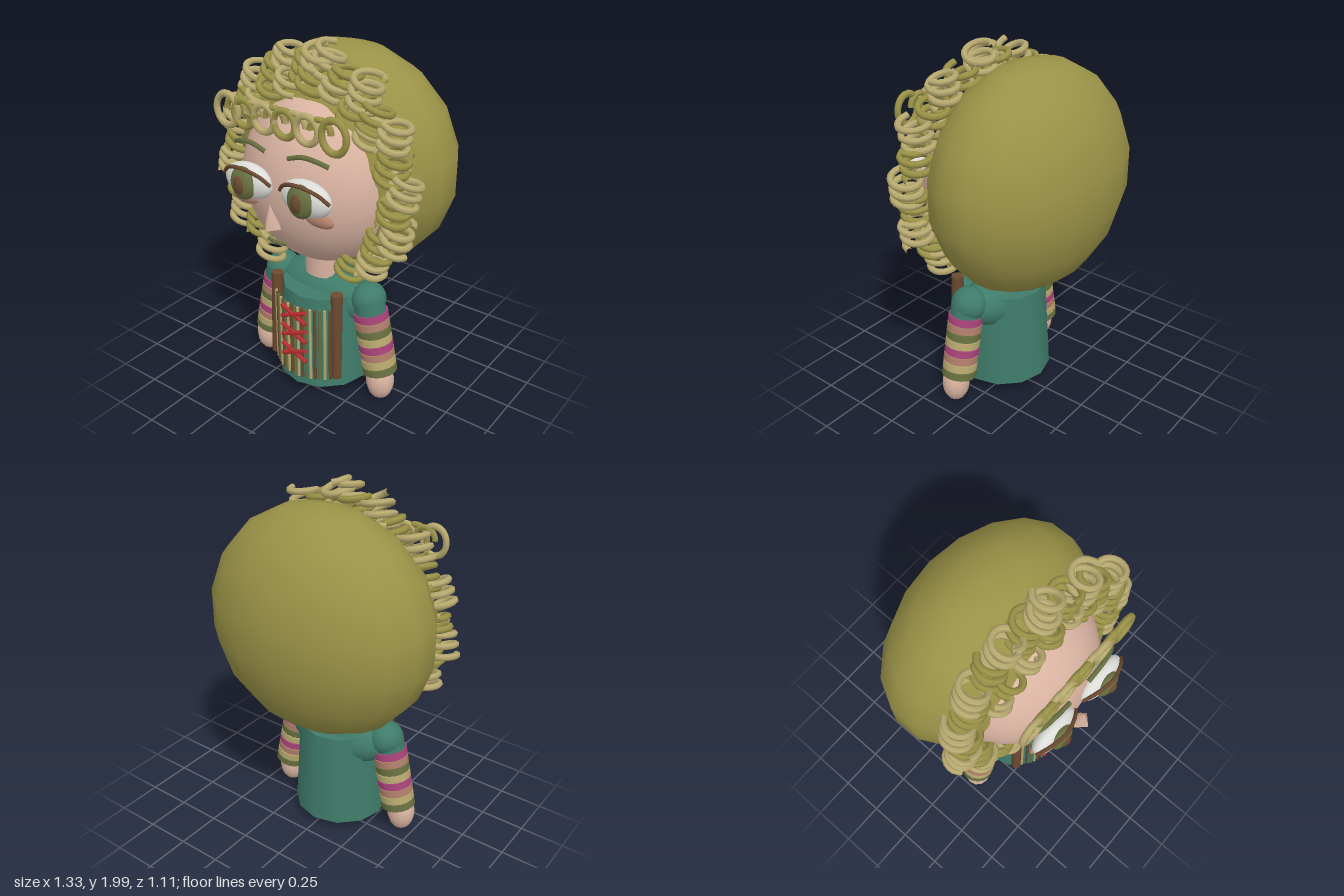
import * as THREE from 'three';

const mat = (name, color) => Object.assign(new THREE.MeshStandardMaterial({ color }), { name });
const V = (x, y, z) => new THREE.Vector3(x, y, z);
const CX = -0.02; // mirror line of the body

export function createModel() {
  const root = new THREE.Group();
  root.name = 'curlyHairedDoll';
  const hair = mat('olive hair', 0x9a9247);
  const khaki = mat('light khaki', 0xb9aa70);
  const skin = mat('skin', 0xd9b3a1);
  const blush = mat('dusky pink', 0xb07f6b);
  const teal = mat('teal cloth', 0x3f7c6a);
  const brown = mat('brown', 0x6c4a30);
  const magenta = mat('magenta', 0xa9437a);
  const red = mat('red lace', 0xb92d30);
  const white = mat('eye white', 0xdcdcd8);
  const green = mat('moss green', 0x687040);

  const add = (name, geo, material, x = 0, y = 0, z = 0, parent = root) => {
    const m = new THREE.Mesh(geo, material);
    m.name = name;
    m.position.set(x, y, z);
    parent.add(m);
    return m;
  };
  const ball = (rx, ry, rz, w = 24, h = 16, turn = 0) =>
    new THREE.SphereGeometry(1, w, h).rotateY(turn).scale(rx, ry, rz);
  const tube = (pts, r, seg = 16, sides = 6) =>
    new THREE.TubeGeometry(new THREE.CatmullRomCurve3(pts), seg, r, sides);
  // straight rod between two points
  const rod = (name, a, b, r0, r1, material, sides = 8) => {
    const d = b.clone().sub(a);
    const m = add(name, new THREE.CylinderGeometry(r1, r0, d.length(), sides), material);
    m.position.copy(a).add(b).multiplyScalar(0.5);
    m.quaternion.setFromUnitVectors(V(0, 1, 0), d.normalize());
    return m;
  };

  // Head, hair mass and neck
  add('hairMass', ball(0.65, 0.62, 0.44, 18, 9, Math.PI / 18), hair, CX, 1.31, -0.12);
  add('head', ball(0.46, 0.48, 0.41, 32, 20), skin, CX, 1.26, 0.05);
  add('neck', new THREE.CylinderGeometry(0.1, 0.1, 0.16, 16), skin, CX, 0.76, 0.1).scale.z = 0.75;

  // Face
  for (const s of [-1, 1]) {
    const side = s > 0 ? 'left' : 'right';
    const ex = CX + s * 0.18;
    add(side + 'EyeWhite', ball(0.15, 0.095, 0.06), white, ex, 1.31, 0.455);
    add(side + 'Iris', ball(0.075, 0.088, 0.042), green, ex, 1.31, 0.5);
    add(side + 'Pupil', ball(0.035, 0.05, 0.025), brown, ex, 1.31, 0.528);
    add(side + 'Eyelid', tube([V(-0.15, 0.01, 0.47), V(-0.1, 0.06, 0.5), V(0, 0.09, 0.525),
      V(0.1, 0.06, 0.5), V(0.15, 0.01, 0.47)], 0.01), brown, ex, 1.31, 0);
    add(side + 'Brow', tube([V(s * -0.11, -0.008, 0.45), V(s * -0.02, 0.018, 0.45),
      V(s * 0.06, 0.01, 0.44), V(s * 0.11, -0.012, 0.42)], 0.012), green, ex, 1.495, 0);
    add(side + 'Cheek', ball(0.085, 0.036, 0.025), blush, CX + s * 0.235, 1.195, 0.425);
  }
  add('nose', new THREE.ConeGeometry(0.052, 0.13, 4).toNonIndexed(), skin, CX, 1.185, 0.505)
    .rotation.x = 0.12;
  add('mouth', tube([V(-0.06, 0.005, 0), V(-0.02, 0, 0.005), V(0.02, 0, 0.005), V(0.06, 0.005, 0)],
    0.01), green, CX, 1.02, 0.462);

  // Spring curl with a near-vertical axis
  const curl = (name, x, y, z, r, height, turns, material, tilt, spin) => {
    const pts = [];
    const n = Math.round(turns * 10);
    for (let i = 0; i <= n; i++) {
      const t = i / n, a = spin + t * turns * Math.PI * 2;
      pts.push(V(Math.cos(a) * r, (t - 0.5) * height, Math.sin(a) * r));
    }
    const m = add(name, tube(pts, 0.018, n * 2, 6), material, x, y, z);
    m.rotation.set(0.12 * Math.sin(spin), 0, tilt);
  };
  // Curls framing the face
  const COUNT = 24;
  for (let i = 0; i < COUNT; i++) {
    const a = THREE.MathUtils.degToRad(-62 + (304 * i) / (COUNT - 1));
    const j = Math.sin(i * 12.9);
    const k = 0.515 + (i % 2) * 0.05;
    curl('frameCurl', -0.005 + Math.cos(a) * k, 1.325 + Math.sin(a) * (k + 0.0), 0.17 + 0.045 * j,
      0.072, 0.17, 3, i % 2 ? khaki : hair, -0.28 + 0.1 * j, i * 2.1);
  }
  // Second row over the forehead
  for (let i = 0; i < 7; i++) {
    const a = THREE.MathUtils.degToRad(35 + i * 18);
    curl('topCurl', Math.cos(a) * 0.43, 1.345 + Math.sin(a) * 0.45, 0.21,
      0.065, 0.1, 1.8, i % 2 ? hair : khaki, -0.3, i * 1.7);
  }
  // Crowning tuft
  curl('crownCurl', 0.02, 1.91, 0.17, 0.07, 0.09, 1.6, khaki, -0.25, 1);

  // Ringlets across the brow, open to the front
  [-0.345, -0.235, -0.11, 0.015, 0.15, 0.305].forEach((x, i) => {
    const r = i % 5 ? 0.064 : 0.07;
    const m = add('fringeRing', new THREE.TorusGeometry(r, 0.017, 8, 22), i % 2 ? hair : khaki,
      x, 1.645, 0.43);
    m.scale.y = i % 5 ? 1.05 : 1.15;
  });
  [-0.29, -0.17, -0.045, 0.08, 0.225].forEach((x, i) =>
    add('fringeLoop', new THREE.TorusGeometry(0.06, 0.016, 8, 20, Math.PI), i % 2 ? khaki : hair,
      x, 1.65, 0.425));

  // Bodice and shoulders
  add('torso', new THREE.CylinderGeometry(0.238, 0.27, 0.55, 12), teal, CX, 0.345, 0.07);
  add('shoulders', ball(0.32, 0.17, 0.165, 20, 12), teal, CX, 0.555, 0.05);

  // Pleats wrapping the bodice front
  const PLEATS = 17;
  for (let i = 0; i < PLEATS; i++) {
    const u = (i / (PLEATS - 1)) * 2 - 1;
    add('pleat', new THREE.CylinderGeometry(0.0085, 0.0085, 0.45, 6), [khaki, brown, green][i % 3],
      CX + u * 0.185, 0.355, 0.35 - 0.075 * u * u);
  }
  add('pleatBacking', new THREE.CylinderGeometry(0.25, 0.25, 0.45, 16, 1, true, -0.8, 1.6),
    teal, CX, 0.355, 0.09).material.side = THREE.DoubleSide;

  // Crossed laces
  for (const y of [0.53, 0.41, 0.285])
    for (const s of [-1, 1])
      rod('lace', V(CX - 0.08, y - s * 0.036, 0.357), V(CX + 0.08, y + s * 0.036, 0.357),
        0.012, 0.012, red);

  // Straps, sleeves and hands
  const bands = [magenta, blush, green, khaki, magenta, blush, khaki, green];
  for (const s of [-1, 1]) {
    const side = s > 0 ? 'left' : 'right';
    rod(side + 'Strap', V(CX + s * 0.215, 0.15, 0.255), V(CX + s * 0.203, 0.67, 0.24),
      0.027, 0.034, brown, 10);
    const top = V(CX + s * 0.3, 0.61, 0.085), wrist = V(CX + s * 0.39, 0.17, 0.085);
    rod(side + 'Sleeve', wrist, top, 0.083, 0.088, teal, 16);
    add(side + 'ShoulderCap', ball(0.095, 0.095, 0.1, 16, 10), teal, CX + s * 0.297, 0.6, 0.075);
    bands.forEach((m, i) => {
      const a = top.clone().lerp(wrist, 0.17 + i * 0.104);
      const b = top.clone().lerp(wrist, 0.17 + i * 0.104 + 0.09);
      rod(side + 'SleeveBand', b, a, 0.097, 0.097, m, 16);
    });
    add(side + 'Hand', ball(0.08, 0.115, 0.075, 12, 10), skin, CX + s * 0.4, 0.118, 0.1);
  }
  return root;
}
